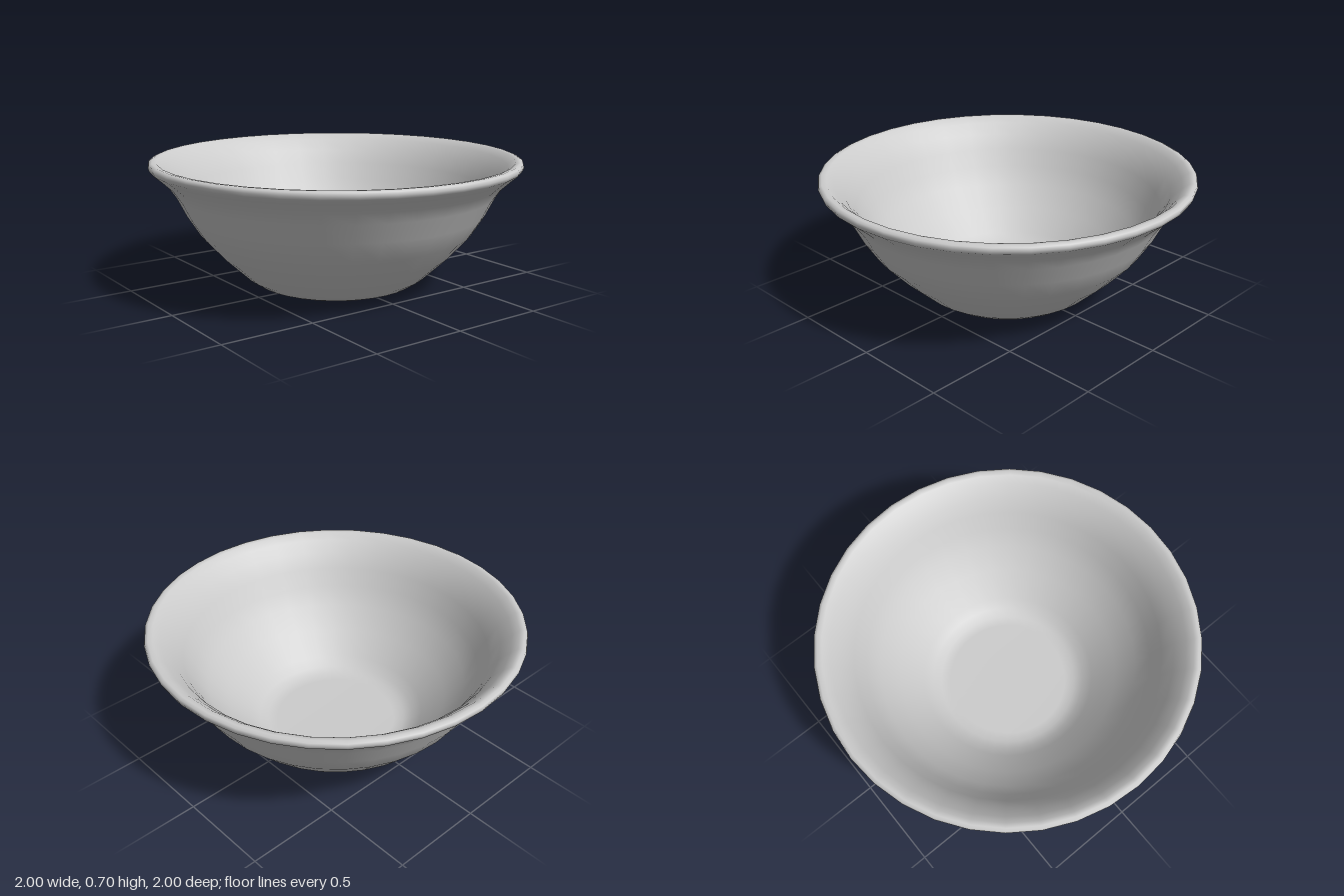
import * as THREE from 'three';

const SEGMENTS = 36;

export function createModel() {
  const group = new THREE.Group();
  group.name = 'bowl';

  // Outside wall, from the centre of the base up to the rim
  const outside = [
    [0, 0], [0.33, 0], [0.39, 0.01], [0.44, 0.028], [0.5, 0.068], [0.63, 0.19],
    [0.74, 0.31], [0.81, 0.42], [0.86, 0.52], [0.905, 0.585], [0.965, 0.64],
  ];
  // Rounded lip
  const lip = [[0.993, 0.664], [1, 0.682], [0.996, 0.698], [0.98, 0.705], [0.955, 0.702]];
  // Inside wall, from the rim down to the centre of the floor
  const inside = [
    [0.92, 0.672], [0.865, 0.615], [0.815, 0.535], [0.765, 0.44], [0.7, 0.34],
    [0.6, 0.23], [0.48, 0.115], [0.43, 0.075], [0.385, 0.053], [0.33, 0.045], [0, 0.045],
  ];

  const profile = [...outside, ...lip, ...inside].map(([r, y]) => new THREE.Vector2(r, y));
  const bowl = new THREE.Mesh(
    new THREE.LatheGeometry(profile, SEGMENTS),
    new THREE.MeshStandardMaterial({ color: 0xcccccc }),
  );
  bowl.name = 'bowlShell';
  group.add(bowl);
  return group;
}
